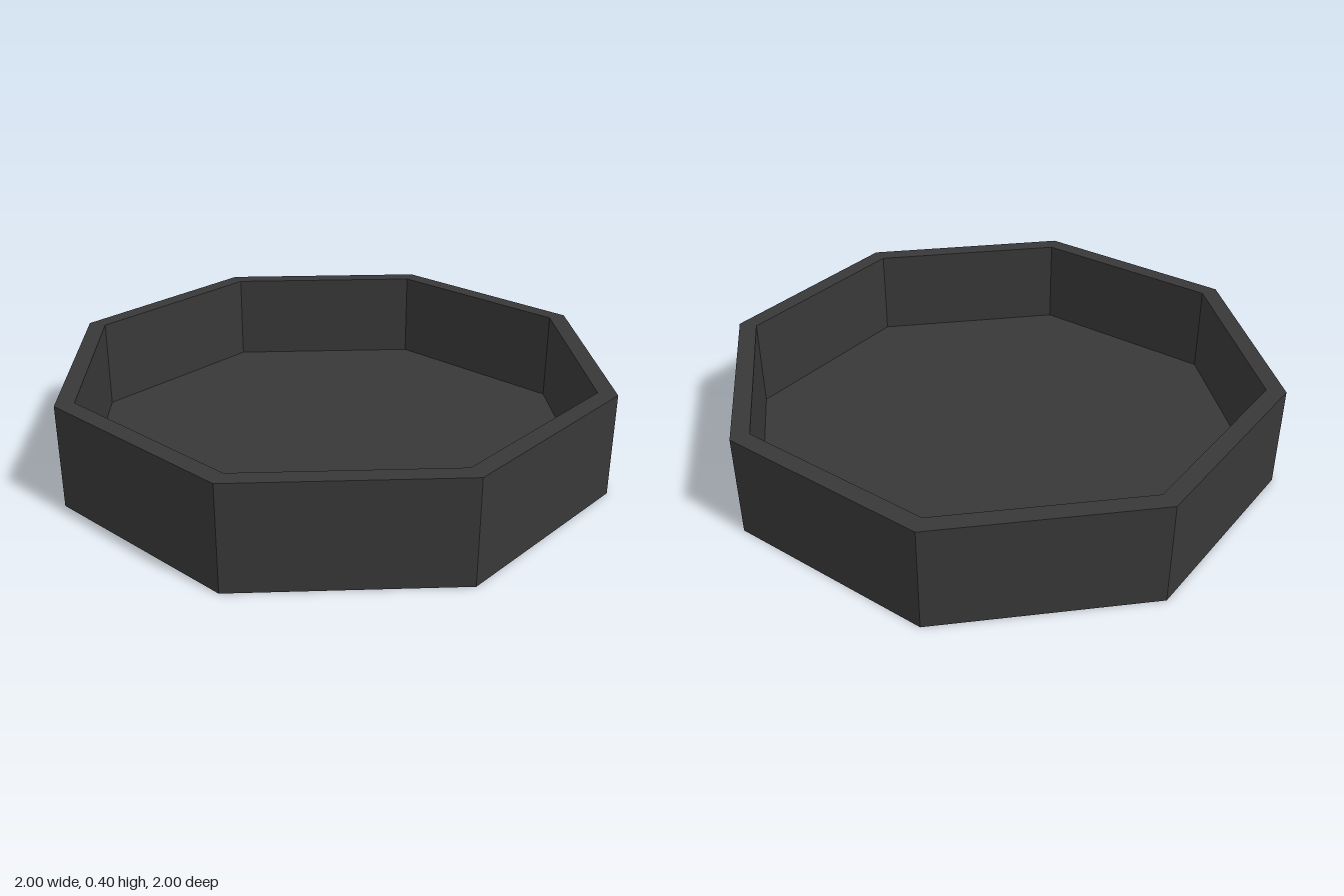
import * as THREE from 'three';

const SIDES = 8;
const HEIGHT = 0.4;
const FLOOR = 0.047;
const OUTER = 1; // distance from centre to the flat of a side
const INNER = 0.933;

export function createModel() {
  const group = new THREE.Group();
  group.name = 'octagonalTray';

  // Closed wall-and-floor section, turned in eight flat steps
  const corner = (flat) => flat / Math.cos(Math.PI / SIDES);
  const section = [
    [0, 0],
    [corner(OUTER), 0],
    [corner(OUTER), HEIGHT],
    [corner(INNER), HEIGHT],
    [corner(INNER), FLOOR],
    [0, FLOOR],
  ].map(([x, y]) => new THREE.Vector2(x, y));

  // Half a step of turn puts a flat side at the front
  const geometry = new THREE.LatheGeometry(section, SIDES, Math.PI / SIDES);
  const material = new THREE.MeshStandardMaterial({ color: 0x383838, flatShading: true });
  const tray = new THREE.Mesh(geometry, material);
  tray.name = 'tray';
  group.add(tray);

  return group;
}
